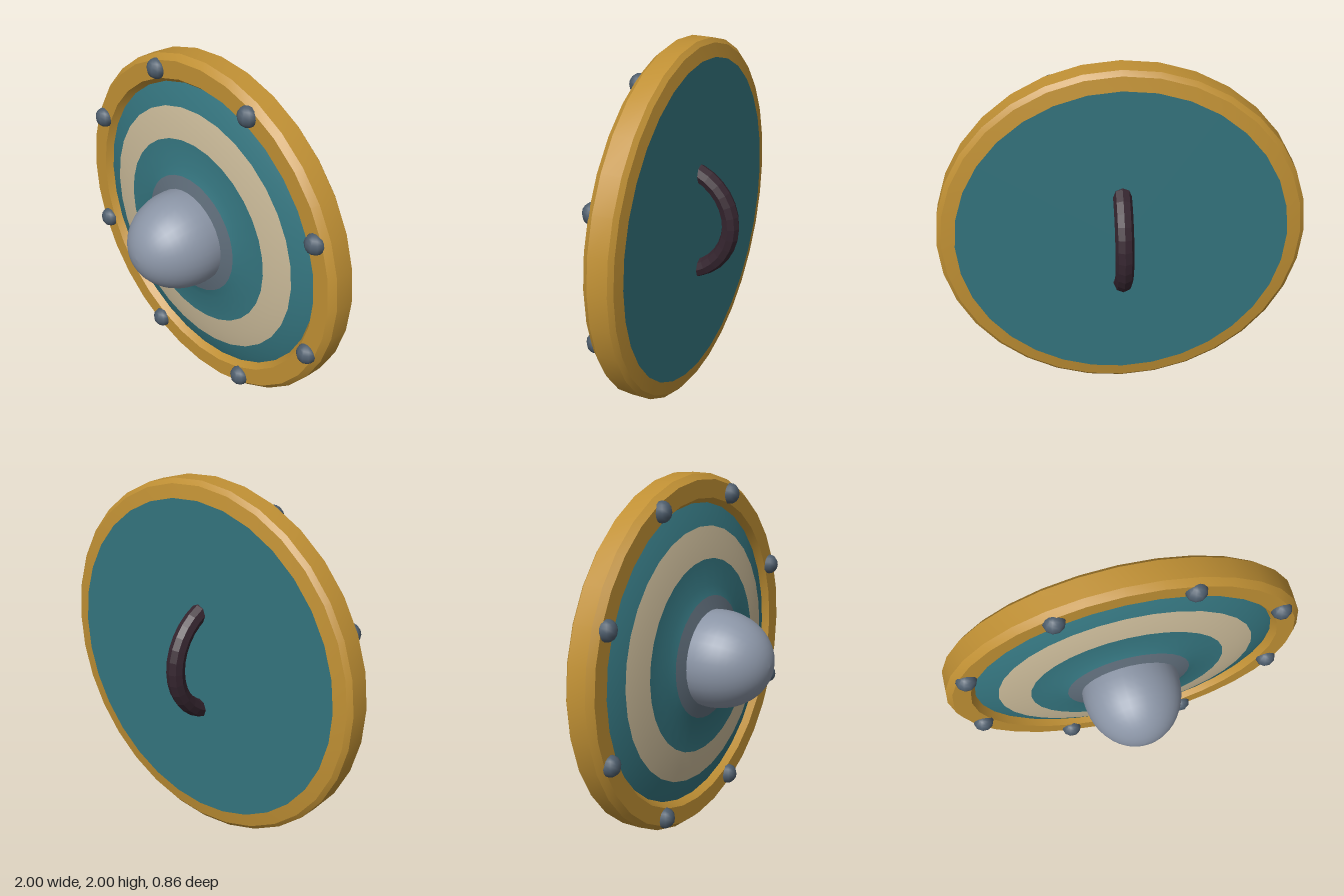
import * as THREE from 'three';
import { toCreasedNormals } from 'three/addons/utils/BufferGeometryUtils.js';

const SIDES = 32;

function material(name, color) {
  const m = new THREE.MeshStandardMaterial({ color });
  m.name = name;
  return m;
}

// Turns [radius, z] points around the z axis, listed from back to front
function turned(points, sides = SIDES, crease = 0.4) {
  const geometry = new THREE.LatheGeometry(points.map(([r, z]) => new THREE.Vector2(r, z)), sides);
  geometry.rotateX(Math.PI / 2);
  return crease ? toCreasedNormals(geometry, crease) : geometry;
}

export function createModel() {
  const model = new THREE.Group();
  model.name = 'roundShield';

  const gold = material('gold', 0xc09034);
  const teal = material('teal', 0x34747e);
  const cream = material('cream', 0xc9b998);
  const steel = material('steel', 0x8b95a6);
  const dullSteel = material('dullSteel', 0x5f6d7a);
  const darkSteel = material('darkSteel', 0x4e5d6c);
  const leather = material('darkLeather', 0x35252f);
  leather.flatShading = true;

  const shield = new THREE.Group();
  shield.name = 'shield';
  shield.position.y = 1;
  model.add(shield);

  function add(name, geometry, mat, parent = shield) {
    const mesh = new THREE.Mesh(geometry, mat);
    mesh.name = name;
    parent.add(mesh);
    return mesh;
  }

  // Bevelled metal rim
  add('rim', turned([
    [0.9, -0.2], [0.975, -0.187], [1, -0.165], [1, -0.055],
    [0.97, -0.02], [0.87, -0.02], [0.84, -0.06],
  ]), gold);

  // Flat back board
  add('backBoard', turned([[0, -0.2], [0.9, -0.2]]), teal);

  // Domed face, in painted bands
  add('outerBand', turned([[0.87, -0.07], [0.8, -0.037], [0.72, -0.012]]), teal);
  add('paleBand', turned([[0.72, -0.012], [0.64, 0.007], [0.545, 0.02]]), cream);
  add('innerBand', turned([[0.545, 0.02], [0.4, 0.03], [0.345, 0.05]]), teal);
  add('bossCollar', turned([[0.345, 0.05], [0.26, 0.072]]), dullSteel);

  // Central boss: a stretched dome
  const bossProfile = [];
  for (let i = 0; i <= 12; i++) {
    const a = -0.14 + (Math.PI / 2 + 0.14) * (i / 12);
    bossProfile.push([Math.max(0, 0.273 * Math.cos(a)), 0.11 + 0.32 * Math.sin(a)]);
  }
  add('boss', turned(bossProfile, SIDES, 0), steel);

  // Ring of rivets on the rim
  const rivets = new THREE.Group();
  rivets.name = 'rivets';
  shield.add(rivets);
  const rivetGeometry = new THREE.SphereGeometry(0.058, 10, 8).scale(1, 1, 0.93);
  for (let i = 0; i < 8; i++) {
    const a = (i + 0.5) * Math.PI / 4;
    add('rivet', rivetGeometry, darkSteel, rivets)
      .position.set(0.922 * Math.cos(a), 0.922 * Math.sin(a), -0.02);
  }

  // Hand grip: an upright arc whose ends sink into the board
  const grip = new THREE.TorusGeometry(0.31, 0.05, 8, 16, Math.PI);
  grip.rotateZ(Math.PI / 2).rotateY(-Math.PI / 2);
  add('grip', grip, leather).position.z = -0.07;

  return model;
}
